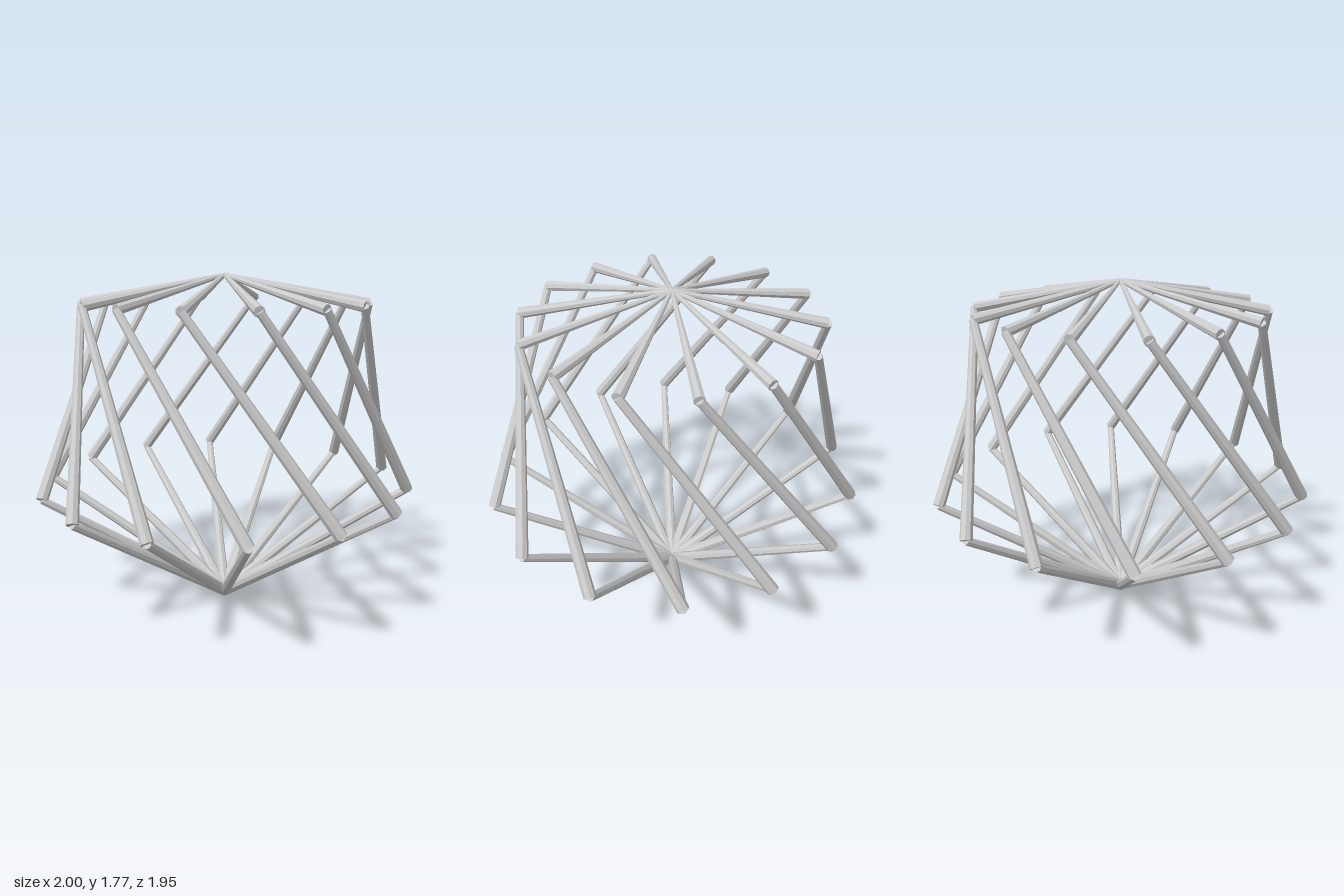
import * as THREE from 'three';

const COUNT = 14;          // rods per tier
const STEP = (Math.PI * 2) / COUNT;
const TWIST = 0.8;         // turn between lower and upper ring

const UP = new THREE.Vector3(0, 1, 0);
const material = new THREE.MeshStandardMaterial({ color: 0xcccccc, flatShading: true });

// Tapered eight-sided rod, thick at start and thin at end
function rod(name, start, end, startRadius, endRadius) {
  const axis = end.clone().sub(start);
  const geometry = new THREE.CylinderGeometry(endRadius, startRadius, axis.length(), 8);
  const mesh = new THREE.Mesh(geometry, material);
  mesh.name = name;
  mesh.position.copy(start).add(end).multiplyScalar(0.5);
  mesh.quaternion.setFromUnitVectors(UP, axis.normalize());
  return mesh;
}

function ringPoint(radius, y, angle) {
  return new THREE.Vector3(radius * Math.cos(angle), y, radius * Math.sin(angle));
}

export function createModel() {
  const model = new THREE.Group();
  model.name = 'twistedRodCage';

  const base = new THREE.Vector3(0, 0.025, 0);
  const apex = new THREE.Vector3(0, 1.762, 0);

  const lowerSpokes = new THREE.Group();
  lowerSpokes.name = 'lowerSpokes';
  const twistedSides = new THREE.Group();
  twistedSides.name = 'twistedSides';
  const roofSpokes = new THREE.Group();
  roofSpokes.name = 'roofSpokes';

  for (let i = 0; i < COUNT; i++) {
    const angle = i * STEP;
    const lower = ringPoint(0.97, 0.66, angle);
    const upper = ringPoint(0.74, 1.62, angle + TWIST);
    lowerSpokes.add(rod('lowerSpoke', base, lower, 0.03, 0.02));
    twistedSides.add(rod('sideRod', lower, upper, 0.031, 0.02));
    roofSpokes.add(rod('roofSpoke', upper, apex, 0.027, 0.01));
  }

  model.add(lowerSpokes, twistedSides, roofSpokes);
  return model;
}
